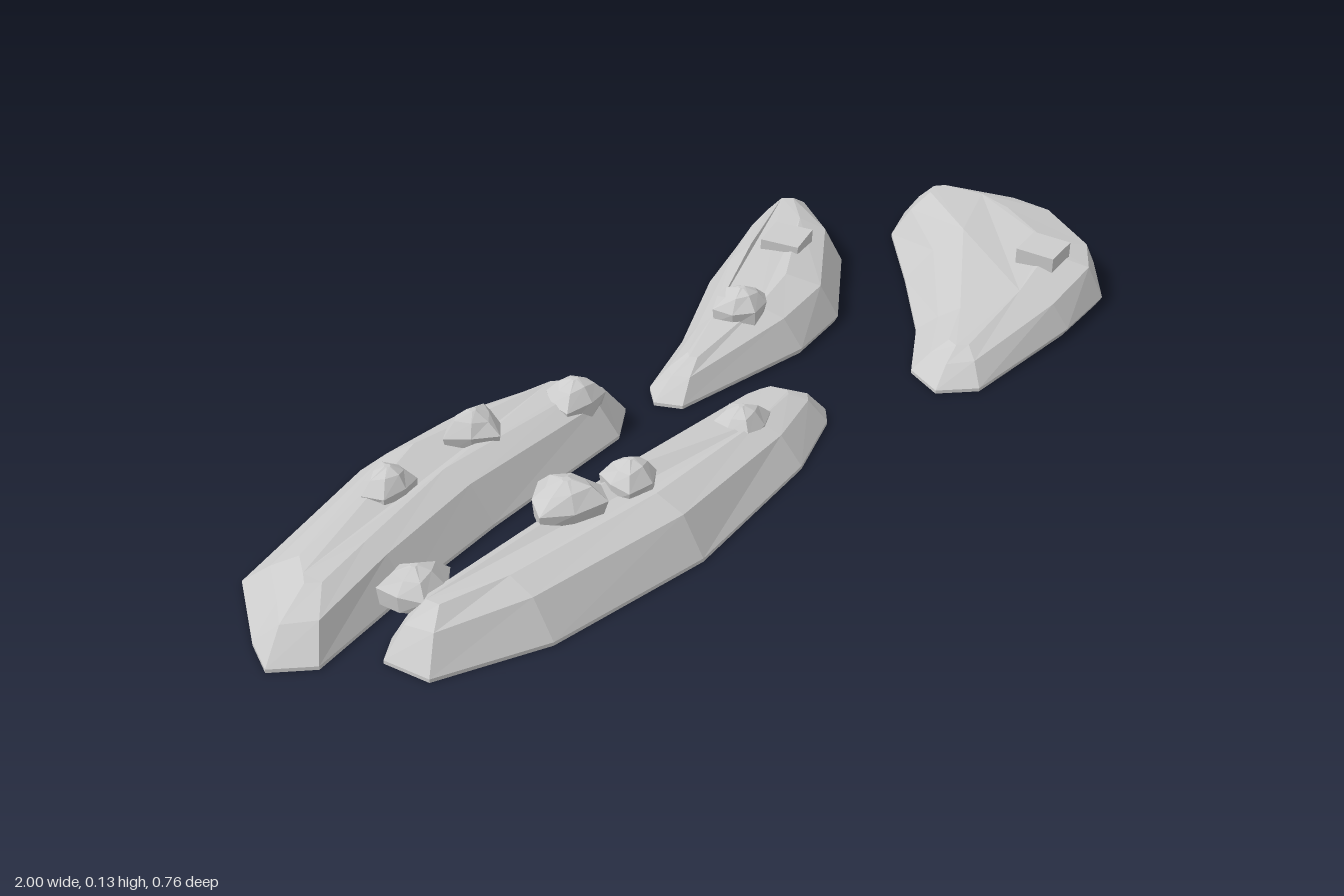
import * as THREE from 'three';

const { lerp, clamp } = THREE.MathUtils;
const material = new THREE.MeshStandardMaterial({ color: 0xcccccc, flatShading: true, side: THREE.DoubleSide });

function addMesh(parent, geometry, name) {
  const mesh = new THREE.Mesh(geometry, material);
  mesh.name = name;
  parent.add(mesh);
  return mesh;
}

// Faceted surface through rings of points, open below, closed by a cap on the last ring
function loft(rings) {
  const pos = [];
  const face = (...corners) => corners.forEach(p => pos.push(p.x, p.y, p.z));
  for (let r = 0; r < rings.length - 1; r++) {
    const lo = rings[r], hi = rings[r + 1];
    for (let i = 0; i < lo.length; i++) {
      const j = (i + 1) % lo.length;
      face(lo[i], lo[j], hi[j]);
      face(lo[i], hi[j], hi[i]);
    }
  }
  const top = rings[rings.length - 1];
  const flat = top.map(p => new THREE.Vector2(p.x, -p.z));
  for (const [a, b, c] of THREE.ShapeUtils.triangulateShape(flat, [])) face(top[a], top[b], top[c]);
  const geo = new THREE.BufferGeometry();
  geo.setAttribute('position', new THREE.Float32BufferAttribute(pos, 3));
  geo.computeVertexNormals();
  return geo;
}

// Closest point, seen from above, on the ridge line of a slab
function nearestOnRidge(ridge, p) {
  let best = null, bestD = Infinity;
  for (let i = 0; i < ridge.length - 1; i++) {
    const a = ridge[i], b = ridge[i + 1];
    const dx = b.x - a.x, dz = b.z - a.z;
    const t = clamp(((p.x - a.x) * dx + (p.z - a.z) * dz) / (dx * dx + dz * dz), 0, 1);
    const q = a.clone().lerp(b, t), d = Math.hypot(q.x - p.x, q.z - p.z);
    if (d < bestD) { bestD = d; best = q; }
  }
  return best;
}

// Slab from its outline [x, z] and ridge [x, y, z]: walls are steep towards the front left,
// gentler towards the back right; tuck draws the foot in under the left side
function addSlab(model, name, tuck, outline, ridge) {
  const group = new THREE.Group();
  group.name = name;
  model.add(group);
  const line = ridge.map(p => new THREE.Vector3(...p));
  const rings = [[], [], [], []];
  for (const [x, z] of outline) {
    const rim = new THREE.Vector3(x, 0, z);
    const peak = nearestOnRidge(line, rim);
    const reach = Math.hypot(x - peak.x, z - peak.z);
    const east = Math.max(0, (x - peak.x) / reach);
    const steep = 0.5 + (0.4 * (x - peak.x) + 0.9 * (z - peak.z)) / reach / 2;
    const inset = Math.min(lerp(0.06, 0.04, steep) - tuck * east, reach * 0.35);
    const foot = rim.clone().lerp(peak, tuck * east / reach).setY(0);
    const waist = rim.clone().setY(0.006 + tuck * east);
    const shoulder = rim.clone().lerp(peak, inset / reach).setY(peak.y * lerp(0.6, 0.8, steep));
    const upper = shoulder.clone().lerp(peak, 0.55).setY(peak.y);
    [foot, waist, shoulder, upper].forEach((p, k) => rings[k].push(p));
  }
  addMesh(group, loft(rings), 'slab');
  return group;
}

// Small irregular pebble with a peaked top, sunk into the slab
function addPebble(group, x, z, radius, top) {
  const height = 0.06, seed = x * 9 + z * 4;
  const profile = [[0.9, 0], [1, 0.45], [0.6, 0.82], [0.12, 1]];
  const rings = profile.map(([r, h], k) => Array.from({ length: 7 }, (_, i) => {
    const a = seed - i / 7 * Math.PI * 2;
    const d = r * radius * (1 + 0.15 * Math.sin(seed * 5 + i * 2.4 + k * 0.6));
    const lift = k === 1 || k === 2 ? 0.06 * Math.sin(seed * 3 + i * 1.9 + k) : 0;
    return new THREE.Vector3(Math.cos(a) * d, (h + lift) * height, Math.sin(a) * d * 0.85);
  }));
  addMesh(group, loft(rings), 'pebble').position.set(x, top - height, z);
}

// Tilted square stone
function addBlock(group, x, y, z, turn) {
  const block = addMesh(group, new THREE.BoxGeometry(0.075, 0.04, 0.075), 'blockStone');
  block.position.set(x, y, z);
  block.rotation.set(0.05, turn, 0.06);
}

export function createModel() {
  const model = new THREE.Group();

  const backRight = addSlab(model, 'backRightSlab', 0,
    [[-1, .13], [-.94, .18], [-.72, .12], [-.5, .07], [-.16, .01], [-.085, -.05],
      [-.085, -.13], [-.18, -.2], [-.34, -.24], [-.54, -.215], [-.88, -.085], [-.97, .06]],
    [[-.82, .075, .05], [-.5, .09, -.06], [-.2, .075, -.09]]);
  addPebble(backRight, -.62, -.04, .05, .12);
  addPebble(backRight, -.41, -.075, .056, .124);
  addPebble(backRight, -.2, -.055, .056, .108);

  const frontRight = addSlab(model, 'frontRightSlab', 0,
    [[-.865, .235], [-.85, .32], [-.66, .38], [-.34, .38], [-.02, .3], [.125, .23],
      [.155, .2], [.125, .09], [.06, .07], [-.34, .1], [-.66, .16], [-.82, .2]],
    [[-.76, .084, .255], [-.35, .088, .24], [.06, .058, .16]]);
  addPebble(frontRight, -.77, .2, .055, .112);
  addPebble(frontRight, -.465, .205, .068, .131);
  addPebble(frontRight, -.34, .22, .05, .122);
  addPebble(frontRight, -.055, .195, .052, .095);

  const backLeft = addSlab(model, 'backLeftSlab', .012,
    [[-.035, -.03], [-.01, .015], [.29, .025], [.43, -.01], [.62, -.165], [.715, -.325],
      [.67, -.38], [.53, -.36], [.38, -.29], [.165, -.155], [0, -.075]],
    [[.1, .058, -.04], [.32, .09, -.12], [.6, .094, -.3]]);
  addPebble(backLeft, .23, -.07, .055, .123);
  addBlock(backLeft, .48, .087, -.185, .35);

  const frontLeft = addSlab(model, 'frontLeftSlab', .026,
    [[.34, .295], [.4, .345], [.68, .33], [.83, .3], [.92, .215], [1, .065], [1, -.02],
      [.95, -.18], [.885, -.225], [.79, -.18], [.65, -.03], [.5, .12], [.37, .215]],
    [[.46, .055, .26], [.76, .092, .14], [.88, .09, -.12]]);
  addBlock(frontLeft, .77, .092, .2, .2);

  return model;
}
